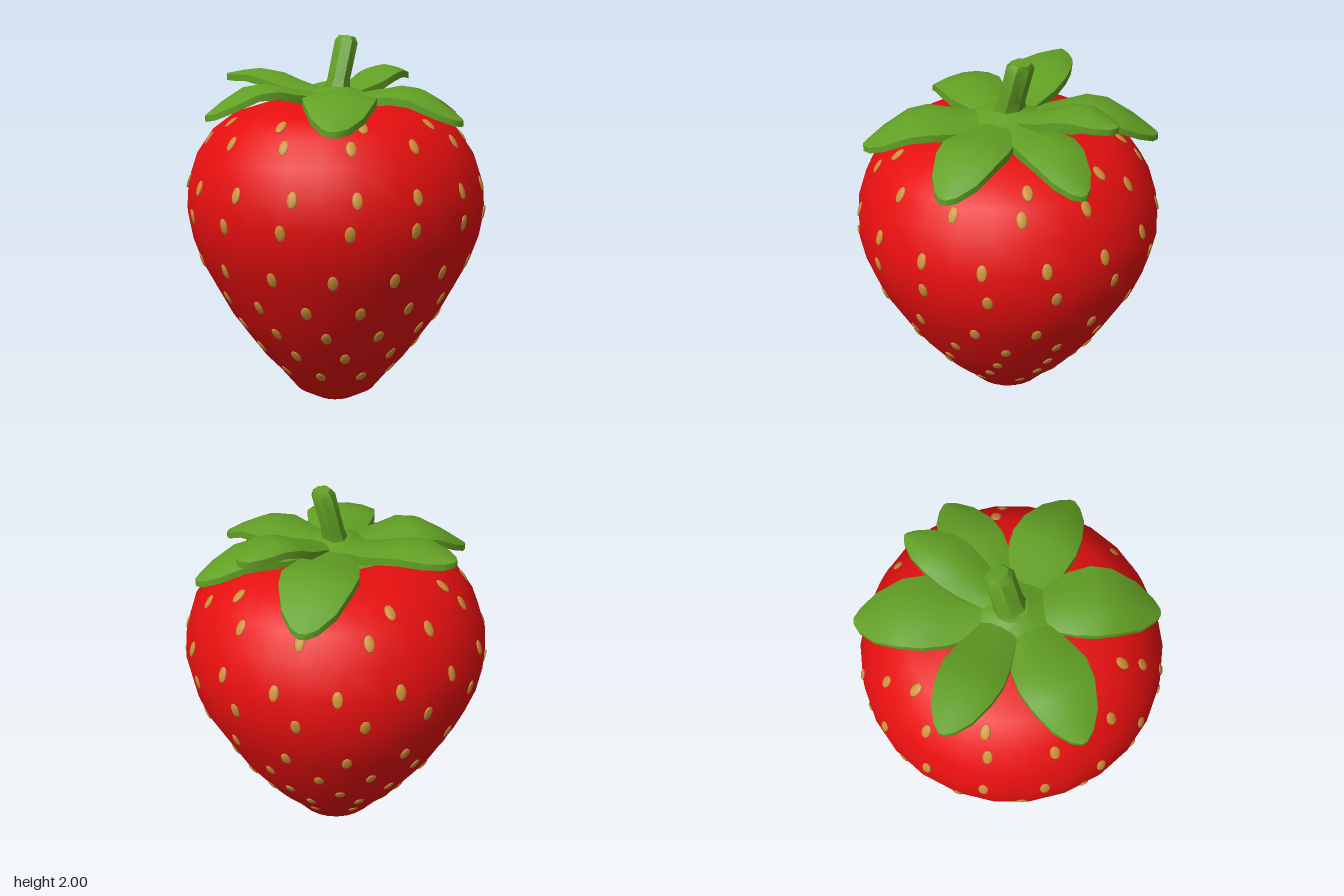
import * as THREE from 'three';
import { toCreasedNormals } from 'three/addons/utils/BufferGeometryUtils.js';

const red = new THREE.MeshStandardMaterial({ name: 'berry red', color: 0xe60f0f });
const green = new THREE.MeshStandardMaterial({ name: 'leaf green', color: 0x62a024 });
const ochre = new THREE.MeshStandardMaterial({ name: 'seed ochre', color: 0xcc9038 });

// Fruit outline: radius, height
const PROFILE = [
  [0, 0], [0.11, 0.01], [0.22, 0.07], [0.31, 0.18], [0.395, 0.27], [0.49, 0.4], [0.575, 0.52],
  [0.65, 0.66], [0.73, 0.81], [0.78, 0.95], [0.805, 1.09], [0.795, 1.23], [0.745, 1.38],
  [0.655, 1.51], [0.54, 1.595], [0.36, 1.65], [0, 1.68],
];
const SIDES = 26;

function makeBody() {
  const points = PROFILE.map(([r, y]) => new THREE.Vector2(r, y));
  const mesh = new THREE.Mesh(new THREE.LatheGeometry(points, SIDES), red);
  mesh.name = 'fruit';
  return mesh;
}

// Seeds lie in staggered rows, flush with the faceted skin
function makeSeeds() {
  const group = new THREE.Group();
  group.name = 'seeds';
  const geometry = new THREE.SphereGeometry(1, 8, 6).scale(0.027, 0.042, 0.009);
  // height, seeds in the row, angle of the first one in degrees
  const rows = [
    [1.56, 9, 30], [1.47, 13, 11], [1.24, 16, 7], [1.08, 15, -18], [0.83, 15, 0],
    [0.65, 15, 12], [0.5, 13, 0], [0.36, 11, 16], [0.22, 10, 0],
  ];
  const step = (2 * Math.PI) / SIDES;
  for (const [y, count, start] of rows) {
    const k = PROFILE.findIndex((p) => p[1] > y);
    const [r0, y0] = PROFILE[k - 1];
    const [r1, y1] = PROFILE[k];
    const ring = r0 + ((r1 - r0) * (y - y0)) / (y1 - y0);
    const slope = (r1 - r0) / (y1 - y0);
    for (let i = 0; i < count; i++) {
      const a = THREE.MathUtils.degToRad(start) + (i * 2 * Math.PI) / count;
      const inFacet = THREE.MathUtils.euclideanModulo(a, step) - step / 2;
      const r = (ring * Math.cos(step / 2)) / Math.cos(inFacet);
      const seed = new THREE.Mesh(geometry, ochre);
      seed.name = 'seed';
      seed.position.set(r * Math.sin(a), y, r * Math.cos(a));
      seed.lookAt(seed.position.clone().add(new THREE.Vector3(Math.sin(a), -slope, Math.cos(a))));
      group.add(seed);
    }
  }
  return group;
}

// An arched, thick leaf from the hub to a tip, with a different width on each side
function makeLeaf([tipX, tipZ, midY, tipY, widthA, widthB]) {
  const length = Math.hypot(tipX, tipZ);
  const ux = tipX / length, uz = tipZ / length;
  const spine = new THREE.SplineCurve([
    new THREE.Vector2(0, 1.69), new THREE.Vector2(length * 0.35, (1.7 + midY) / 2),
    new THREE.Vector2(length * 0.65, midY), new THREE.Vector2(length, tipY),
  ]);
  // position along the spine, share of the full width
  const sections = [[0, 0.4], [0.2, 0.65], [0.38, 0.9], [0.55, 1], [0.7, 0.93], [0.84, 0.68], [0.94, 0.34], [1, 0.08]];
  const across = [1, 0.55, 0, -0.55, -1];
  const positions = [], index = [];
  for (const [t, share] of sections) {
    const s = spine.getPoint(t);
    const thick = 0.05 - 0.02 * t;
    const put = (w, drop) => {
      const d = w * share * (w > 0 ? widthA : widthB);
      positions.push(ux * s.x + uz * d, s.y - 0.035 * w * w * share - drop, uz * s.x - ux * d);
    };
    across.forEach((w) => put(w, 0));
    [...across].reverse().forEach((w) => put(w, thick));
  }
  const n = across.length * 2;
  for (let i = 0; i < sections.length - 1; i++) {
    for (let j = 0; j < n; j++) {
      const a = i * n + j, c = i * n + ((j + 1) % n);
      index.push(a, c, a + n, c, c + n, a + n);
    }
  }
  const end = (sections.length - 1) * n;
  for (let j = 1; j < n - 1; j++) index.push(end, end + j, end + j + 1);
  const geometry = new THREE.BufferGeometry();
  geometry.setAttribute('position', new THREE.Float32BufferAttribute(positions, 3));
  geometry.setIndex(index);
  const mesh = new THREE.Mesh(toCreasedNormals(geometry, 0.8), green);
  mesh.name = 'leaf';
  return mesh;
}

function makeCrown() {
  const group = new THREE.Group();
  group.name = 'leafCrown';
  // tip x, tip z, middle height, tip height, width on each side
  const leaves = [
    [-0.3, 0.68, 1.72, 1.56, 0.21, 0.16],
    [0.44, 0.59, 1.72, 1.58, 0.18, 0.16],
    [0.73, 0, 1.72, 1.58, 0.15, 0.16],
    [0.56, -0.29, 1.84, 1.79, 0.12, 0.14],
    [0.36, -0.69, 1.74, 1.58, 0.2, 0.18],
    [-0.42, -0.58, 1.82, 1.79, 0.15, 0.16],
    [-0.72, 0.01, 1.75, 1.6, 0.19, 0.17],
  ];
  leaves.forEach((leaf) => group.add(makeLeaf(leaf)));

  // Hub joining the leaves
  const hub = new THREE.Mesh(new THREE.CylinderGeometry(0.08, 0.3, 0.08, 14), green);
  hub.name = 'leafHub';
  hub.position.y = 1.69;
  group.add(hub);
  return group;
}

// Leaning stem with a slightly rounded end
function makeStem() {
  const outline = [[0.085, 0], [0.07, 0.08], [0.07, 0.27], [0.05, 0.3], [0, 0.305]];
  const geometry = new THREE.LatheGeometry(outline.map(([r, y]) => new THREE.Vector2(r, y)), 7);
  const pos = geometry.attributes.position;
  for (let i = 0; i < pos.count; i++) {
    const y = pos.getY(i);
    pos.setXYZ(i, pos.getX(i) * 0.85 + 0.27 * y, 1.695 + y - 0.15 * pos.getX(i) * (y > 0.2 ? 1 : 0), pos.getZ(i) * 1.1 - 0.1 * y);
  }
  const mesh = new THREE.Mesh(toCreasedNormals(geometry, 0.7), green);
  mesh.name = 'stem';
  return mesh;
}

export function createModel() {
  const model = new THREE.Group();
  model.name = 'strawberry';
  model.add(makeBody(), makeSeeds(), makeCrown(), makeStem());
  return model;
}
